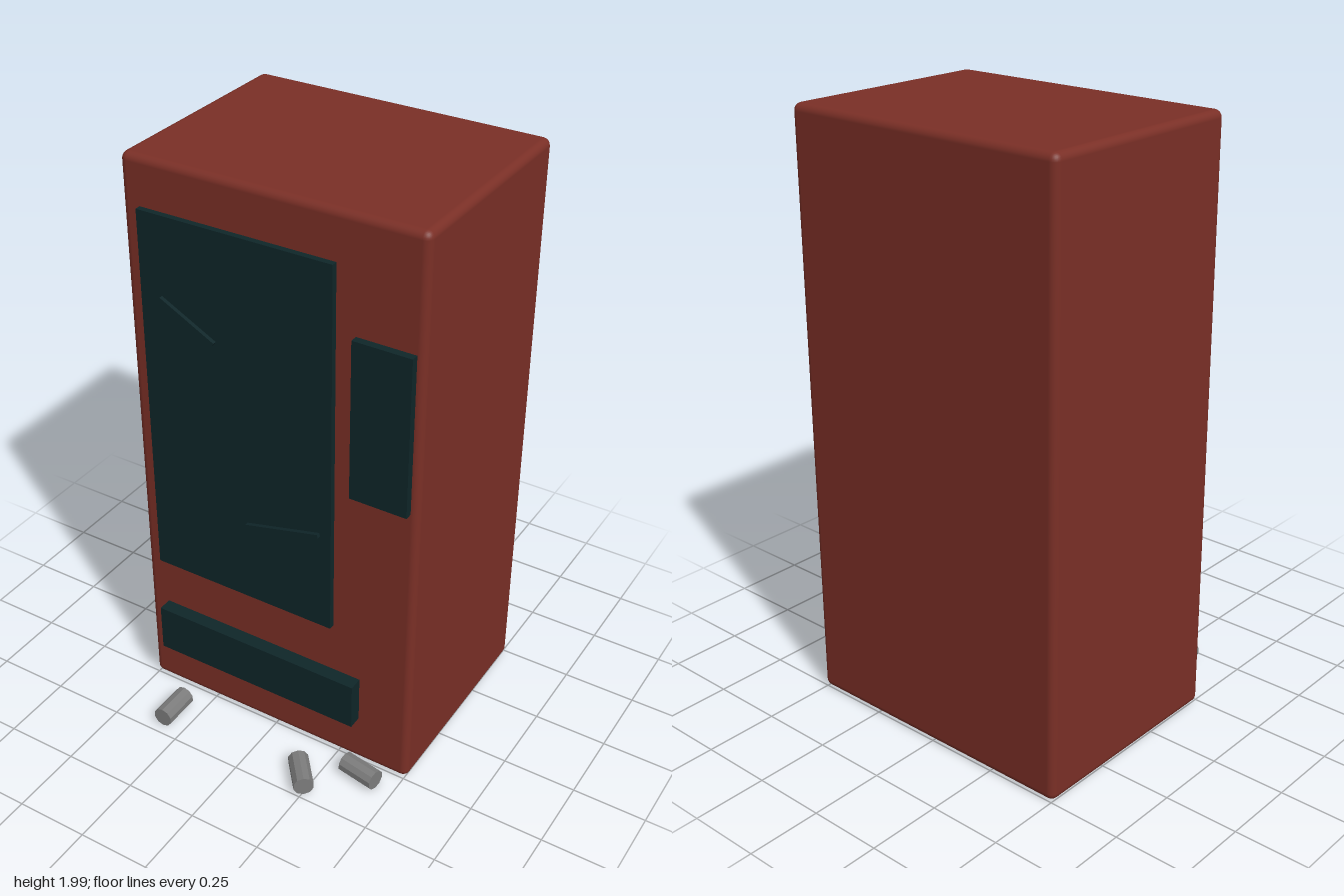
import * as THREE from 'three';
import { RoundedBoxGeometry } from 'three/addons/geometries/RoundedBoxGeometry.js';

const material = (name, color) => {
  const m = new THREE.MeshStandardMaterial({ color });
  m.name = name;
  return m;
};

export function createModel() {
  const model = new THREE.Group();
  model.name = 'vendingMachine';
  const red = material('rustRed', 0x7a2f26);
  const dark = material('darkTeal', 0x0f2629);
  const grey = material('canGrey', 0x7c7c7c);
  grey.flatShading = true;

  const add = (name, geometry, mat, x, y, z) => {
    const mesh = new THREE.Mesh(geometry, mat);
    mesh.name = name;
    mesh.position.set(x, y, z);
    model.add(mesh);
    return mesh;
  };

  // Cabinet with softly rounded edges
  add('cabinet', new RoundedBoxGeometry(1.02, 1.99, 0.755, 3, 0.025), red, 0, 1.003, -0.1275);

  // Front panels, sunk slightly into the cabinet: x0, x1, y0, y1, front z
  const back = 0.23;
  const panels = [
    ['displayWindow', -0.445, 0.225, 0.545, 1.84, 0.27],
    ['controlPanel', 0.29, 0.485, 1.085, 1.625, 0.275],
    ['dispenserTray', -0.435, 0.325, 0.19, 0.36, 0.298],
  ];
  for (const [name, x0, x1, y0, y1, z] of panels) {
    add(name, new THREE.BoxGeometry(x1 - x0, y1 - y0, z - back), dark,
      (x0 + x1) / 2, (y0 + y1) / 2, (z + back) / 2);
  }

  // Thin cracks across the window: start x, y, end x, y
  const cracks = [[-0.37, 1.57, -0.18, 1.47], [-0.08, 0.84, 0.185, 0.905]];
  for (const [x0, y0, x1, y1] of cracks) {
    const length = Math.hypot(x1 - x0, y1 - y0);
    const crack = add('windowCrack', new THREE.BoxGeometry(length, 0.012, 0.016), dark,
      (x0 + x1) / 2, (y0 + y1) / 2, 0.275);
    crack.rotation.z = Math.atan2(y1 - y0, x1 - x0);
  }

  // Cans lying on the ground: x, z, heading
  const canGeometry = new THREE.CylinderGeometry(0.035, 0.035, 0.13, 10).rotateX(Math.PI / 2);
  for (const [x, z, turn] of [[-0.325, 0.4, 0], [0.214, 0.432, 0.7], [0.377, 0.323, 1.4]]) {
    add('can', canGeometry, grey, x, 0.04, z).rotation.y = turn;
  }
  return model;
}
